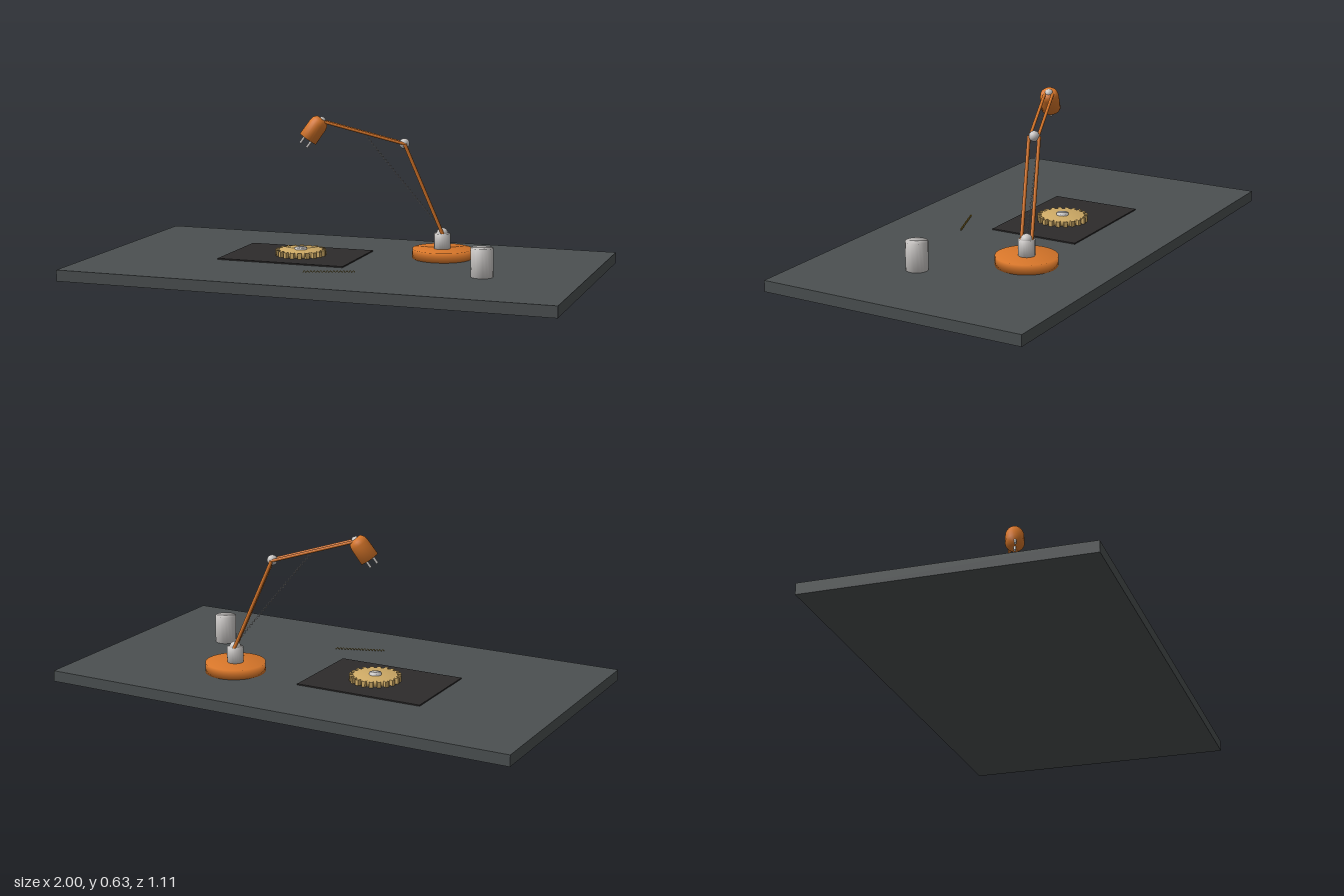
import * as THREE from 'three';

const paint = (name, color) => {
  const m = new THREE.MeshStandardMaterial({ color });
  m.name = name;
  return m;
};
const V = (x, y, z) => new THREE.Vector3(x, y, z);
const UP = V(0, 1, 0);

export function createModel() {
  const slate = paint('slate', 0x4b5051);
  const matBlack = paint('mat black', 0x2d2b2b);
  const orange = paint('orange', 0xd9772a);
  const steel = paint('steel', 0xcac7c5);
  const brass = paint('brass', 0xcfab66);
  const darkBrass = paint('dark brass', 0xa88a35);

  const root = new THREE.Group();
  root.name = 'deskWithLamp';

  const add = (name, geometry, material, pos = V(0, 0, 0), parent = root) => {
    const mesh = new THREE.Mesh(geometry, material);
    mesh.name = name;
    mesh.position.copy(pos);
    parent.add(mesh);
    return mesh;
  };
  // Solid of revolution with soft edges, from [radius, height] pairs
  const turned = (profile, sides = 32) =>
    new THREE.LatheGeometry(profile.map(([r, y]) => new THREE.Vector2(r, y)), sides);
  const drum = (r, h, sides) => turned([[0, 0], [r, 0], [r, h], [0, h]], sides);
  // Round rod between two points
  const rod = (name, a, b, r, material, parent = root) => {
    const mesh = add(name, new THREE.CylinderGeometry(r, r, a.distanceTo(b), 12), material,
      a.clone().lerp(b, 0.5), parent);
    mesh.quaternion.setFromUnitVectors(UP, b.clone().sub(a).normalize());
    return mesh;
  };
  // Coil spring between two points
  const spring = (name, a, b, r, wire, turns, material, parent = root) => {
    const length = a.distanceTo(b), n = turns * 10, pts = [];
    for (let i = 0; i <= n; i++) {
      const t = (i / 10) * Math.PI * 2;
      pts.push(V(r * Math.cos(t), length * i / n, r * Math.sin(t)));
    }
    const mesh = add(name, new THREE.TubeGeometry(new THREE.CatmullRomCurve3(pts), n, wire, 5),
      material, a, parent);
    mesh.quaternion.setFromUnitVectors(UP, b.clone().sub(a).normalize());
    return mesh;
  };

  // Desk slab and work mat
  add('deskTop', new THREE.BoxGeometry(2, 0.045, 1.11), slate, V(0, 0.0225, 0));
  add('workMat', new THREE.BoxGeometry(0.537, 0.005, 0.38), matBlack, V(-0.224, 0.0475, -0.05));

  // Gear with raised hub
  const gear = new THREE.Group();
  gear.name = 'gear';
  gear.position.set(-0.203, 0.05, -0.048);
  root.add(gear);
  add('gearDisc', drum(0.088, 0.023, 40), brass, V(0, 0, 0), gear);
  add('gearHub', drum(0.025, 0.031, 20), steel, V(0, 0, 0), gear);
  const teeth = 20;
  for (let i = 0; i < teeth; i++) {
    const a = (i / teeth) * Math.PI * 2;
    const tooth = add('gearTooth', new THREE.BoxGeometry(0.022, 0.023, 0.015), brass,
      V(Math.cos(a) * 0.093, 0.0115, Math.sin(a) * 0.093), gear);
    tooth.rotation.y = -a;
  }

  // Loose spring and cup on the desk
  spring('looseSpring', V(-0.06, 0.054, 0.307), V(0.132, 0.054, 0.238), 0.003, 0.0014, 16, darkBrass);
  add('cup', drum(0.044, 0.114, 20), steel, V(0.61, 0.045, 0.132));

  // Lamp base and post
  const lamp = new THREE.Group();
  lamp.name = 'lamp';
  root.add(lamp);
  const foot = V(0.355, 0.145, -0.2);
  const elbow = V(0.208, 0.513, -0.148);
  const neck = V(-0.106, 0.605, -0.036);
  add('lampBase', drum(0.122, 0.039, 48), orange, V(foot.x, 0.045, foot.z), lamp);
  add('lampPost', drum(0.033, 0.064, 24), steel, V(foot.x, 0.083, foot.z), lamp);

  // Joints
  const joints = [['footJoint', foot, 0.024], ['elbowJoint', elbow, 0.021], ['neckJoint', neck, 0.017]];
  for (const [name, p, r] of joints) add(name, new THREE.SphereGeometry(r, 20, 14), steel, p, lamp);

  // Paired arm rods on either side of the joints
  const side = V(0.34, 0, 0.94);
  for (const s of [-1, 1]) {
    const low = side.clone().multiplyScalar(s * 0.02);
    const high = side.clone().multiplyScalar(s * 0.016);
    rod('lowerArm', foot.clone().add(low), elbow.clone().add(low), 0.007, orange, lamp);
    rod('upperArm', elbow.clone().add(high), neck.clone().add(high), 0.006, orange, lamp);
  }
  // Balance spring
  spring('balanceSpring', V(0.35, 0.165, -0.198), elbow.clone().lerp(neck, 0.5), 0.0035, 0.0014, 32, steel, lamp);

  // Head with two pins, built along its own axis
  const head = new THREE.Group();
  head.name = 'lampHead';
  head.position.set(-0.106, 0.611, -0.035);
  head.quaternion.setFromUnitVectors(UP, V(-0.053, -0.08, 0.019).normalize());
  lamp.add(head);
  const shell = [[0, -0.004], [0.024, -0.002], [0.034, 0.01], [0.038, 0.026], [0.039, 0.096], [0, 0.096]];
  // Profile runs from the crown to the mouth
  add('headShell', turned(shell, 28), orange, V(0, 0, 0), head);
  const across = V(-0.78, 0.58, 0.28).applyQuaternion(head.quaternion.clone().invert());
  across.y = 0;
  across.normalize();
  for (const s of [-1, 1]) {
    const p = across.clone().multiplyScalar(s * 0.016);
    rod('headPin', p.clone().setY(0.09), p.clone().setY(0.127), 0.005, steel, head);
  }

  return root;
}
